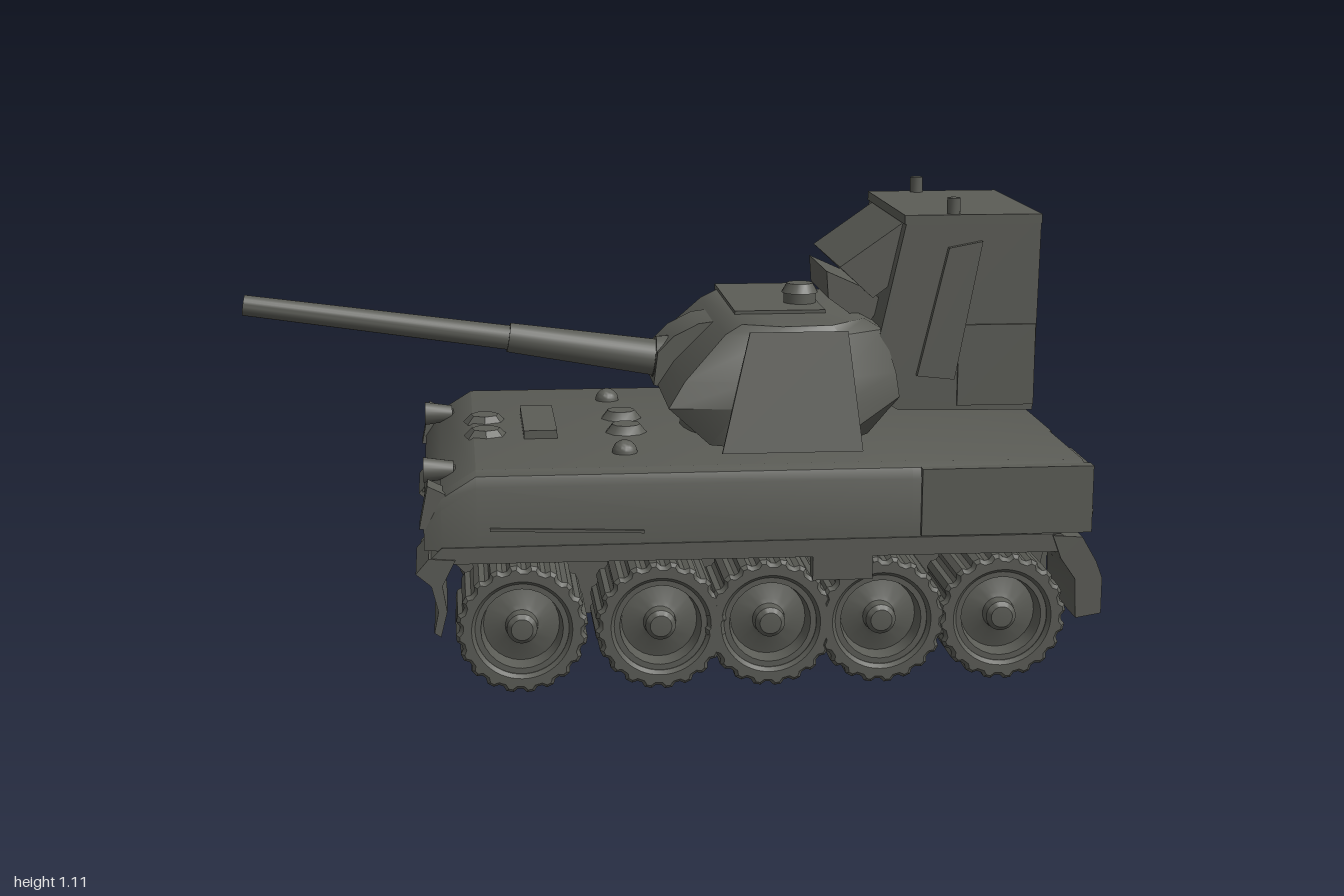
import * as THREE from 'three';
import { toCreasedNormals } from 'three/addons/utils/BufferGeometryUtils.js';

const paint = new THREE.MeshStandardMaterial({ color: 0x5b5c56 });
paint.name = 'dark olive grey';

export function createModel() {
  const model = new THREE.Group();
  model.name = 'trackless gun vehicle';

  function add(name, geo, parent = model) {
    const mesh = new THREE.Mesh(toCreasedNormals(geo, 0.6), paint);
    mesh.name = name;
    parent.add(mesh);
    return mesh;
  }
  function box(name, x0, x1, y0, y1, z0, z1) {
    const g = new THREE.BoxGeometry(x1 - x0, y1 - y0, Math.abs(z1 - z0));
    return add(name, g.translate((x0 + x1) / 2, (y0 + y1) / 2, (z0 + z1) / 2));
  }
  // Side outline (x, y) extruded from z0 to z1
  function slabGeo(pts, z0, z1) {
    const shape = new THREE.Shape(pts.map(p => new THREE.Vector2(...p)));
    return new THREE.ExtrudeGeometry(shape, { depth: Math.abs(z1 - z0), bevelEnabled: false })
      .translate(0, 0, Math.min(z0, z1));
  }
  const slab = (name, pts, z0, z1) => add(name, slabGeo(pts, z0, z1));
  // Tapered round bar between two points
  function rod(name, a, b, ra, rb = ra, sides = 24) {
    const A = new THREE.Vector3(...a), B = new THREE.Vector3(...b);
    const d = B.clone().sub(A);
    const g = new THREE.CylinderGeometry(rb, ra, d.length(), sides);
    g.applyQuaternion(new THREE.Quaternion().setFromUnitVectors(new THREE.Vector3(0, 1, 0), d.normalize()));
    const c = A.add(B).multiplyScalar(0.5);
    return add(name, g.translate(c.x, c.y, c.z));
  }
  // Closed skin through equal cross-section loops
  function loft(name, loops) {
    const n = loops[0].length, pos = loops.flat(2), idx = [];
    for (let k = 0; k < loops.length - 1; k++) {
      for (let i = 0; i < n; i++) {
        const a = k * n + i, b = k * n + (i + 1) % n;
        idx.push(a, b, b + n, a, b + n, a + n);
      }
    }
    const e = (loops.length - 1) * n;
    for (let i = 1; i < n - 1; i++) idx.push(0, i + 1, i, e, e + i, e + i + 1);
    const g = new THREE.BufferGeometry();
    g.setAttribute('position', new THREE.Float32BufferAttribute(pos, 3));
    g.setIndex(idx);
    return add(name, g);
  }

  // Hull: rounded upper body over a narrow tub
  const hullLoop = (x, yb, yt, w) => {
    const r = Math.min(0.035, (yt - yb) * 0.4);
    return [[yb, -w], [yt - r, -w], [yt - r * 0.3, -w + r * 0.3], [yt, -w + r],
      [yt, w - r], [yt - r * 0.3, w - r * 0.3], [yt - r, w], [yb, w]].map(([y, z]) => [x, y, z]);
  };
  loft('upperHull', [hullLoop(-0.57, 0.35, 0.42, 0.47), hullLoop(-0.53, 0.35, 0.48, 0.48),
    hullLoop(-0.45, 0.35, 0.53, 0.48), hullLoop(0.55, 0.355, 0.53, 0.48), hullLoop(0.955, 0.36, 0.525, 0.48)]);
  slab('lowerHull', [[-0.53, 0.36], [-0.5, 0.25], [-0.4, 0.15], [-0.3, 0.12], [0.9, 0.12], [0.95, 0.36]], -0.235, 0.235);

  // Rear plates
  box('rearPlate', 0.9, 0.96, 0.12, 0.525, -0.145, 0.145);
  box('rearHatch', 0.95, 0.968, 0.365, 0.455, -0.09, 0.09);
  box('rearDoor', 0.95, 0.968, 0.13, 0.325, -0.1, 0.1);

  // Wheel: toothed tyre and dished disc
  const teeth = 20, tread = [];
  for (let i = 0; i < teeth; i++) {
    [[0, 0.143], [0.2, 0.152], [0.55, 0.152], [0.75, 0.143]].forEach(([f, r]) => {
      const a = (i + f) / teeth * Math.PI * 2;
      tread.push(new THREE.Vector2(Math.cos(a) * r, Math.sin(a) * r));
    });
  }
  const tyre = new THREE.Shape(tread);
  tyre.holes.push(new THREE.Path().absarc(0, 0, 0.108, 0, Math.PI * 2, true));
  const tyreGeo = new THREE.ExtrudeGeometry(tyre, { depth: 0.2, bevelEnabled: true, bevelSize: 0.008,
    bevelThickness: 0.01, bevelOffset: -0.008, bevelSegments: 1, curveSegments: 28 }).translate(0, 0, 0.01);
  const discGeo = new THREE.LatheGeometry([[0, 0.02], [0.112, 0.02], [0.112, 0.207], [0.095, 0.207], [0.088, 0.165],
    [0.05, 0.175], [0.038, 0.18], [0.035, 0.207], [0.025, 0.217], [0, 0.219]].map(p => new THREE.Vector2(...p)), 28)
    .rotateX(Math.PI / 2);

  for (const s of [1, -1]) {
    for (const x of [-0.35, -0.03, 0.225, 0.485, 0.77]) {
      const wheel = new THREE.Group();
      wheel.name = 'wheel';
      wheel.position.set(x, 0.156, s * 0.255);
      if (s < 0) wheel.rotation.y = Math.PI;
      add('tyre', tyreGeo, wheel);
      add('wheelDisc', discGeo, wheel);
      model.add(wheel);
      rod('axle', [x, 0.17, s * 0.2], [x, 0.156, s * 0.29], 0.03, 0.03, 12);
    }
    // Fenders and mud flaps
    slab('fender', [[-0.58, 0.31], [-0.53, 0.32], [0.9, 0.315], [0.93, 0.335], [0.9, 0.358], [-0.53, 0.358]], s * 0.23, s * 0.485);
    slab('frontFlap', [[-0.59, 0.3], [-0.56, 0.335], [-0.5, 0.33], [-0.53, 0.27], [-0.52, 0.21], [-0.535, 0.15],
      [-0.55, 0.16], [-0.54, 0.21], [-0.555, 0.27]], s * 0.26, s * 0.49);
    slab('rearFender', [[0.88, 0.355], [0.95, 0.35], [0.985, 0.29], [1, 0.25], [1, 0.165], [0.94, 0.155],
      [0.935, 0.25], [0.9, 0.3]], s * 0.235, s * 0.49);
    // Stowage on the flanks and tail
    box('sideLocker', 0.57, 0.97, 0.362, 0.52, s * 0.46, s * 0.492);
    box('tailLocker', 0.94, 0.975, 0.365, 0.512, s * 0.27, s * 0.465);
    rod('tailLight', [0.97, 0.4, s * 0.435], [0.985, 0.4, s * 0.435], 0.012);
    box('footStep', 0.32, 0.46, 0.26, 0.33, s * 0.44, s * 0.482);
    slab('sideRail', [[-0.42, 0.395], [-0.07, 0.383], [-0.07, 0.39], [-0.42, 0.402]], s * 0.47, s * 0.486);
    slab('towBracket', [[-0.58, 0.4], [-0.54, 0.4], [-0.52, 0.48], [-0.56, 0.5]], s * 0.4, s * 0.47);
    // Headlights and deck lamps
    rod('headlight', [-0.5, 0.5, s * 0.31], [-0.57, 0.5, s * 0.31], 0.02, 0.03, 16);
    rod('headlightStalk', [-0.51, 0.45, s * 0.31], [-0.51, 0.51, s * 0.31], 0.015);
    const lamp = add('deckLamp', new THREE.SphereGeometry(0.03, 16, 8, 0, Math.PI * 2, 0, Math.PI / 2));
    lamp.position.set(-0.1, 0.53, s * 0.3);
    // Deck fittings around the gun
    rod('deckCap', [-0.08, 0.525, s * 0.08], [-0.08, 0.55, s * 0.08], 0.055, 0.035, 9);
    rod('frontCap', [-0.42, 0.525, s * 0.08], [-0.42, 0.545, s * 0.08], 0.055, 0.035, 7);
    // Turret cheek plates
    const cheek = slab('cheekPlate', [[0.12, 0], [0.45, 0], [0.42, 0.28], [0.19, 0.28]], -0.005, 0.005);
    cheek.position.set(0, 0.54, s * 0.383);
    cheek.rotation.x = -s * 0.21;
    // Cabin sides
    box('cabinLocker', 0.7, 0.885, 0.615, 0.81, s * 0.23, s * 0.247);
    slab('cabinPanel', [[0.6, 0.69], [0.69, 0.68], [0.75, 1.01], [0.67, 0.995]], s * 0.235, s * 0.256);
    rod('cabinPost', [0.685, 1.05, s * 0.22], [0.685, 1.11, s * 0.22], 0.016, 0.016, 12);
  }
  box('deckBracket', -0.33, -0.25, 0.525, 0.55, -0.15, 0.14);

  // Turret: wedge nose, undercut base, sloping sides
  const turretLoop = (y, x0, x1, nose, wide, tail) => [[-nose, x0], [nose, x0], [wide, x0 + (x1 - x0) * 0.3],
    [wide - 0.01, x0 + (x1 - x0) * 0.7], [tail, x1], [-tail, x1], [-wide + 0.01, x0 + (x1 - x0) * 0.7],
    [-wide, x0 + (x1 - x0) * 0.3]].map(([z, x]) => [x, y, z]);
  loft('turret', [turretLoop(0.545, 0.1, 0.49, 0.31, 0.37, 0.22), turretLoop(0.64, 0, 0.56, 0.34, 0.36, 0.25),
    turretLoop(0.7, 0.04, 0.55, 0.32, 0.345, 0.25), turretLoop(0.8, 0.14, 0.52, 0.27, 0.315, 0.23),
    turretLoop(0.822, 0.18, 0.48, 0.26, 0.3, 0.2)]);
  rod('turretRing', [0.3, 0.52, 0], [0.3, 0.56, 0], 0.24, 0.24, 32);
  box('roofPlate', 0.18, 0.4, 0.815, 0.83, -0.3, 0.12);
  rod('cupola', [0.355, 0.81, 0], [0.355, 0.86, 0], 0.04, 0.04, 20);
  rod('cupolaCap', [0.355, 0.855, 0], [0.355, 0.878, 0], 0.045, 0.032, 20);

  // Gun
  slab('mantlet', [[-0.01, 0.64], [0.12, 0.6], [0.18, 0.8], [0.1, 0.79], [0.04, 0.76], [0, 0.72]], -0.12, 0.06);
  rod('gunCollar', [0.08, 0.69, 0], [-0.005, 0.7, 0], 0.065, 0.05);
  rod('gunSleeve', [0.05, 0.69, 0], [-0.36, 0.753, 0], 0.046, 0.036);
  rod('gunBarrel', [-0.34, 0.75, 0], [-0.996, 0.842, 0], 0.03, 0.025);

  // Cabin behind the turret
  slab('cabin', [[0.5, 0.64], [0.56, 0.605], [0.885, 0.6], [0.892, 1.05], [0.885, 1.058], [0.57, 1.055], [0.51, 0.78]], -0.24, 0.24);
  box('cabinRoof', 0.565, 0.893, 1.05, 1.072, -0.243, 0.243);
  slab('visorHood', [[0.57, 1.05], [0.42, 0.945], [0.5, 0.87], [0.54, 0.9]], -0.2, 0.2);
  slab('visorSill', [[0.4, 0.925], [0.405, 0.86], [0.5, 0.79], [0.54, 0.85], [0.5, 0.88]], -0.14, 0.13);
  return model;
}
